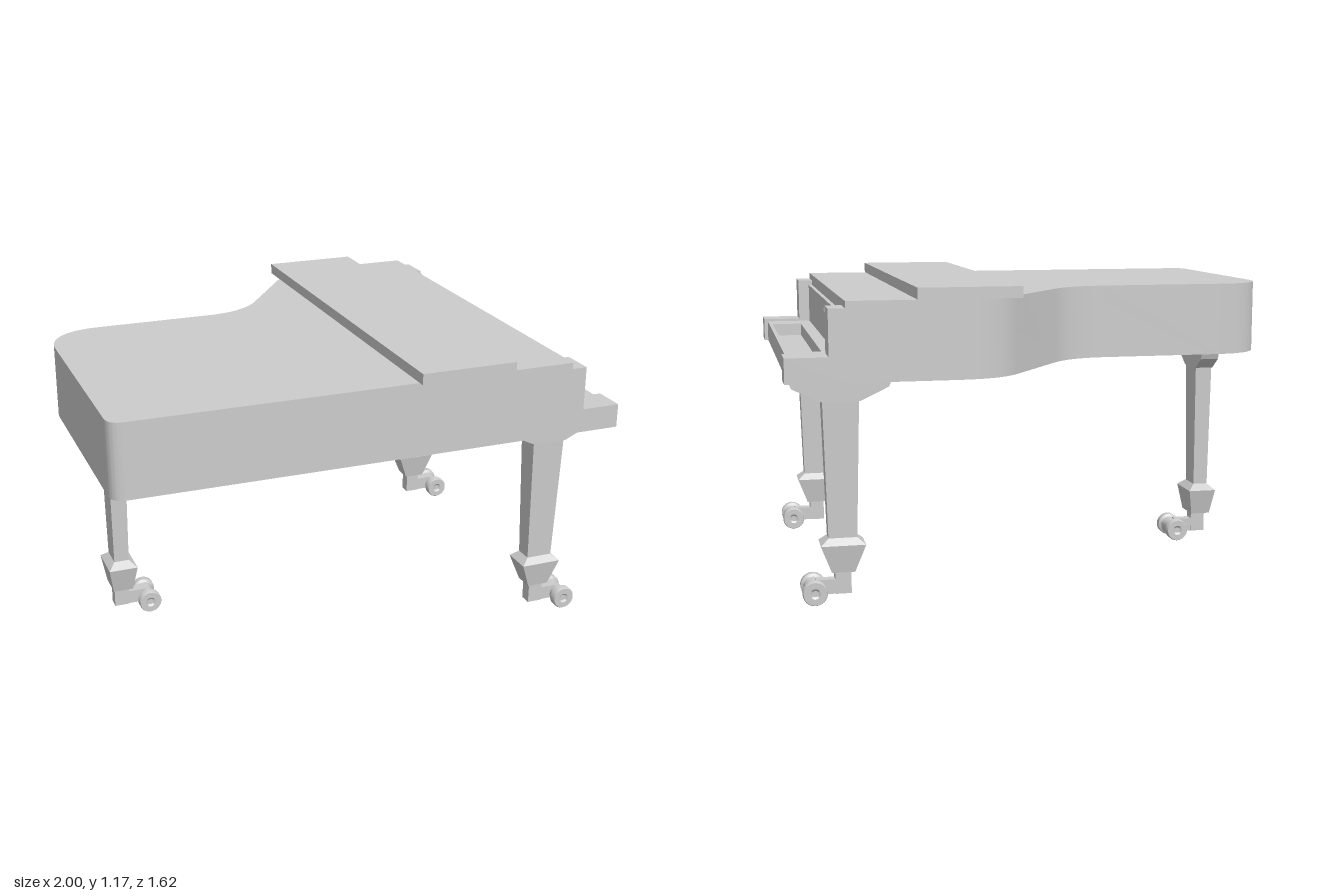
import * as THREE from 'three';
import { toCreasedNormals } from 'three/addons/utils/BufferGeometryUtils.js';

const grey = new THREE.MeshStandardMaterial({ color: 0xcccccc });

function add(parent, name, geometry) {
  const mesh = new THREE.Mesh(geometry, grey);
  mesh.name = name;
  parent.add(mesh);
  return mesh;
}

// Box given by its limits on each axis
function block(parent, name, x0, x1, y0, y1, z0, z1) {
  const mesh = add(parent, name, new THREE.BoxGeometry(x1 - x0, y1 - y0, z1 - z0));
  mesh.position.set((x0 + x1) / 2, (y0 + y1) / 2, (z0 + z1) / 2);
  return mesh;
}

// Plan shape (drawn as x, -z) raised from y0 to y1
function slab(shape, y0, y1) {
  const g = new THREE.ExtrudeGeometry(shape, { depth: y1 - y0, bevelEnabled: false, curveSegments: 16 });
  g.rotateX(-Math.PI / 2).translate(0, y0, 0);
  return toCreasedNormals(g, 0.6);
}

// Rectangular sections [y, half x, half z], listed upward, joined by flat faces
function taperedStack(sections) {
  const rings = sections.map(([y, a, b]) => [[-a, y, b], [a, y, b], [a, y, -b], [-a, y, -b]]);
  const pos = [];
  const quad = (a, b, c, d) => pos.push(...a, ...b, ...c, ...a, ...c, ...d);
  for (let i = 0; i < rings.length - 1; i++) {
    for (let k = 0; k < 4; k++) {
      const n = (k + 1) % 4;
      quad(rings[i][k], rings[i][n], rings[i + 1][n], rings[i + 1][k]);
    }
  }
  const [a, b, c, d] = rings[0];
  quad(d, c, b, a);
  quad(...rings[rings.length - 1]);
  const g = new THREE.BufferGeometry();
  g.setAttribute('position', new THREE.Float32BufferAttribute(pos, 3));
  g.computeVertexNormals();
  return g;
}

// Twin-wheel caster trailing towards +x
function caster(parent) {
  const group = new THREE.Group();
  group.name = 'caster';
  block(group, 'casterPost', -0.03, 0.03, 0.03, 0.12, -0.024, 0.024);
  block(group, 'casterArm', 0.02, 0.1, 0.03, 0.085, -0.02, 0.02);
  const profile = [
    [0, -0.07], [0.012, -0.07], [0.02, -0.076], [0.043, -0.076], [0.046, -0.07], [0.046, -0.045],
    [0.036, -0.038], [0.032, 0], [0.036, 0.038], [0.046, 0.045], [0.046, 0.07], [0.043, 0.076],
    [0.02, 0.076], [0.012, 0.07], [0, 0.07],
  ].map(([r, h]) => new THREE.Vector2(r, h));
  const wheels = add(group, 'casterWheels', toCreasedNormals(new THREE.LatheGeometry(profile, 24), 0.5));
  wheels.rotation.x = Math.PI / 2;
  wheels.position.set(0.108, 0.048, 0);
  parent.add(group);
}

function leg(parent, name, x, z, capSections, shaft) {
  const group = new THREE.Group();
  group.name = name;
  add(group, 'legShaft', taperedStack(shaft));
  add(group, 'legCap', taperedStack(capSections));
  caster(group);
  group.position.set(x, 0, z);
  parent.add(group);
}

export function createModel() {
  const piano = new THREE.Group();
  piano.name = 'grandPiano';

  // Case with the curved long side
  const outline = new THREE.Shape();
  outline.moveTo(0.785, -0.785);
  outline.lineTo(-0.94, -0.785);
  outline.quadraticCurveTo(-1, -0.785, -1, -0.725);
  outline.lineTo(-1, 0.09);
  outline.bezierCurveTo(-0.995, 0.2, -0.92, 0.28, -0.8, 0.285);
  outline.lineTo(-0.3, 0.285);
  outline.bezierCurveTo(-0.2, 0.29, -0.13, 0.33, -0.075, 0.4);
  outline.lineTo(0.148, 0.705);
  outline.bezierCurveTo(0.2, 0.775, 0.27, 0.81, 0.37, 0.815);
  outline.lineTo(0.785, 0.815);
  outline.closePath();
  add(piano, 'case', slab(outline, 0.842, 1.13));

  // Folded lid flap lying across the top
  block(piano, 'lidFlap', 0.15, 0.53, 1.13, 1.172, -0.815, 0.81);

  // Stepped arms at both ends of the keyboard
  const arm = new THREE.Shape([
    [0.78, 0.842], [1, 0.842], [1, 0.935], [0.845, 0.935], [0.845, 1.105], [0.78, 1.105],
  ].map(([x, y]) => new THREE.Vector2(x, y)));
  for (const [name, z0, z1] of [['leftArm', -0.815, -0.685], ['rightArm', 0.655, 0.785]]) {
    add(piano, name, new THREE.ExtrudeGeometry(arm, { depth: z1 - z0, bevelEnabled: false })).position.z = z0;
  }

  // Keyboard bed with a sunken well
  const rect = (x0, x1, z0, z1) => [[x0, -z1], [x1, -z1], [x1, -z0], [x0, -z0]].map((p) => new THREE.Vector2(...p));
  const bed = new THREE.Shape(rect(0.78, 0.985, -0.685, 0.655));
  bed.holes.push(new THREE.Path(rect(0.848, 0.97, -0.55, 0.52)));
  add(piano, 'keyBed', slab(bed, 0.842, 0.925));
  block(piano, 'keyWellFloor', 0.84, 0.975, 0.843, 0.875, -0.56, 0.53);

  // Fallboard and its pivots
  block(piano, 'fallboard', 0.77, 0.8, 0.92, 1.085, -0.685, 0.655);
  for (const z of [-0.68, 0.65]) {
    const pivot = add(piano, 'fallboardPivot', new THREE.CylinderGeometry(0.012, 0.012, 0.02, 12));
    pivot.rotation.x = Math.PI / 2;
    pivot.position.set(0.836, 1.088, z);
  }

  // Two legs under the keyboard, one under the tail
  const frontCap = [[0.755, 0.07, 0.057], [0.805, 0.176, 0.057], [0.83, 0.187, 0.057], [0.843, 0.187, 0.057]];
  const frontShaft = [
    [0.115, 0.043, 0.04], [0.22, 0.083, 0.058], [0.245, 0.053, 0.035], [0.76, 0.067, 0.048],
  ];
  leg(piano, 'frontLegRight', 0.792, 0.592, frontCap, frontShaft);
  leg(piano, 'frontLegLeft', 0.792, -0.612, frontCap, frontShaft);
  const tailCap = [
    [0.755, 0.038, 0.066], [0.8, 0.038, 0.132], [0.828, 0.038, 0.142], [0.83, 0.04, 0.142], [0.843, 0.132, 0.172],
  ];
  const tailShaft = [
    [0.115, 0.04, 0.058], [0.22, 0.058, 0.082], [0.245, 0.03, 0.05], [0.76, 0.035, 0.063],
  ];
  leg(piano, 'tailLeg', -0.818, 0.017, tailCap, tailShaft);

  return piano;
}
